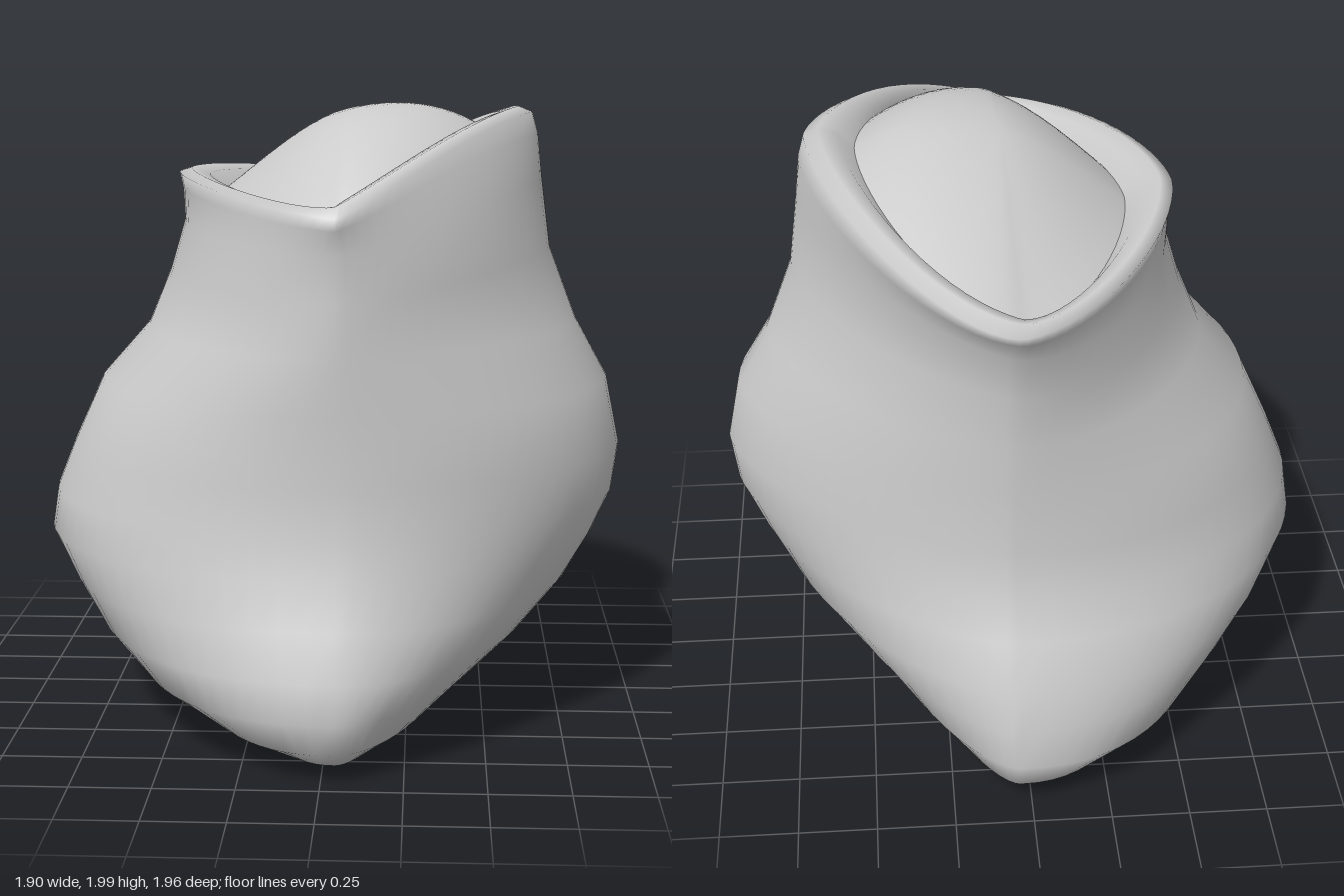
import * as THREE from 'three';
import { mergeVertices } from 'three/addons/utils/BufferGeometryUtils.js';

const SEGMENTS = 72;
const TIP_X = 0.04; // x of the front and back folds

// Outline powers per quadrant: front +x, back +x, -x side
const BASE = [1.75, 1.55, 2.3];
const LOW = [1.85, 1.55, 2.1];
const BELLY = [1.85, 1.5, 2.0];
const NECK = [1.6, 1.55, 1.8];
const MOUTH = [1.32, 1.7, 1.6];
const INSIDE = [1.6, 1.75, 1.6];

// Point on a lens-like outline; the four sides have their own extents
function outline(angle, left, right, front, back, powers) {
  const c = Math.cos(angle), s = Math.sin(angle);
  const p = c < 0 ? powers[2] : s < 0 ? powers[1] : powers[0];
  const side = c < 0 ? TIP_X - left : right - TIP_X;
  const x = TIP_X + Math.sign(c) * side * Math.abs(c) ** (2 / p);
  const z = Math.sign(s) * (s < 0 ? -back : front) * Math.abs(s) ** (2 / p);
  return [x, z];
}

// How far the mouth rises above its front and back tips
function rise(angle, z) {
  const height = 0.182 + 0.1 * Math.tanh(4 * Math.cos(angle));
  return height * Math.max(0, 1 - (z / 0.89) ** 2) ** 0.85;
}

// Surface through closed rings, where pointAt(ring, angle) gives [x, y, z]
function loft(ringCount, pointAt) {
  const positions = [], indices = [];
  for (let i = 0; i < ringCount; i++) {
    for (let j = 0; j < SEGMENTS; j++) {
      positions.push(...pointAt(i, (j / SEGMENTS) * Math.PI * 2));
      if (i === ringCount - 1) continue;
      const a = i * SEGMENTS + j;
      const b = i * SEGMENTS + ((j + 1) % SEGMENTS);
      indices.push(a, a + SEGMENTS, b, b, a + SEGMENTS, b + SEGMENTS);
    }
  }
  let geometry = new THREE.BufferGeometry();
  geometry.setAttribute('position', new THREE.Float32BufferAttribute(positions, 3));
  geometry.setIndex(indices);
  geometry = mergeVertices(geometry, 1e-4);
  geometry.computeVertexNormals();
  return geometry;
}

// Sack rings: y, left, right, front, back, outline powers
const SACK = [
  [0.005, TIP_X, TIP_X, 0, 0, BASE],
  [0.01, -0.1, 0.13, 0.6, -0.6, BASE],
  [0.04, -0.23, 0.25, 0.88, -0.84, BASE],
  [0.1, -0.44, 0.39, 0.96, -0.93, BASE],
  [0.2, -0.64, 0.52, 0.985, -0.97, BASE],
  [0.32, -0.78, 0.655, 0.98, -0.94, LOW],
  [0.46, -0.87, 0.785, 0.925, -0.92, LOW],
  [0.6, -0.95, 0.87, 0.885, -0.85, BELLY],
  [0.73, -0.93, 0.93, 0.86, -0.8, BELLY],
  [0.88, -0.87, 0.95, 0.85, -0.77, BELLY],
  [1.1, -0.77, 0.905, 0.855, -0.77, BELLY],
  [1.27, -0.615, 0.8, 0.865, -0.77, NECK],
  [1.43, -0.54, 0.71, 0.86, -0.775, NECK],
  [1.57, -0.49, 0.68, 0.86, -0.805, NECK],
  [1.65, -0.5, 0.665, 0.885, -0.85, MOUTH],
  [1.69, -0.51, 0.645, 0.89, -0.87, MOUTH],
  [1.7, -0.47, 0.6, 0.85, -0.83, MOUTH],
  [1.68, -0.41, 0.54, 0.81, -0.79, MOUTH],
  [1.62, -0.35, 0.48, 0.77, -0.76, INSIDE],
];

function sackPoint(i, angle) {
  const [y, left, right, front, back, powers] = SACK[i];
  const [x, z] = outline(angle, left, right, front, back, powers);
  // Upper rings follow the slanted mouth, the inner lip fully
  const follow = i > 15 ? 1 : Math.min(1, Math.max(0, (y - 1.2) / 0.5) ** 1.4);
  return [x, y + follow * rise(angle, z), z];
}

// Mound of contents filling the mouth, highest towards front +x
const FILL_RINGS = 14;
function fillPoint(i, angle) {
  const s = 1 - i / (FILL_RINGS - 1);
  const [x, z] = outline(angle, -0.36, 0.49, 0.78, -0.77, INSIDE);
  const edge = 1.63 + rise(angle, z);
  const crown = 1.97 + 0.12 * z * s + 0.22 * (x - TIP_X) * s;
  const blend = s ** 1.85;
  const y = edge * blend + crown * (1 - blend);
  return [TIP_X + (x - TIP_X) * s, y, z * s];
}

export function createModel() {
  const grey = new THREE.MeshStandardMaterial({ color: 0xcccccc });
  grey.name = 'light grey';
  grey.side = THREE.DoubleSide;

  const sack = new THREE.Mesh(loft(SACK.length, sackPoint), grey);
  sack.name = 'sack';
  const filling = new THREE.Mesh(loft(FILL_RINGS, fillPoint), grey);
  filling.name = 'filling';

  const model = new THREE.Group();
  model.name = 'filledSack';
  model.add(sack, filling);
  return model;
}
